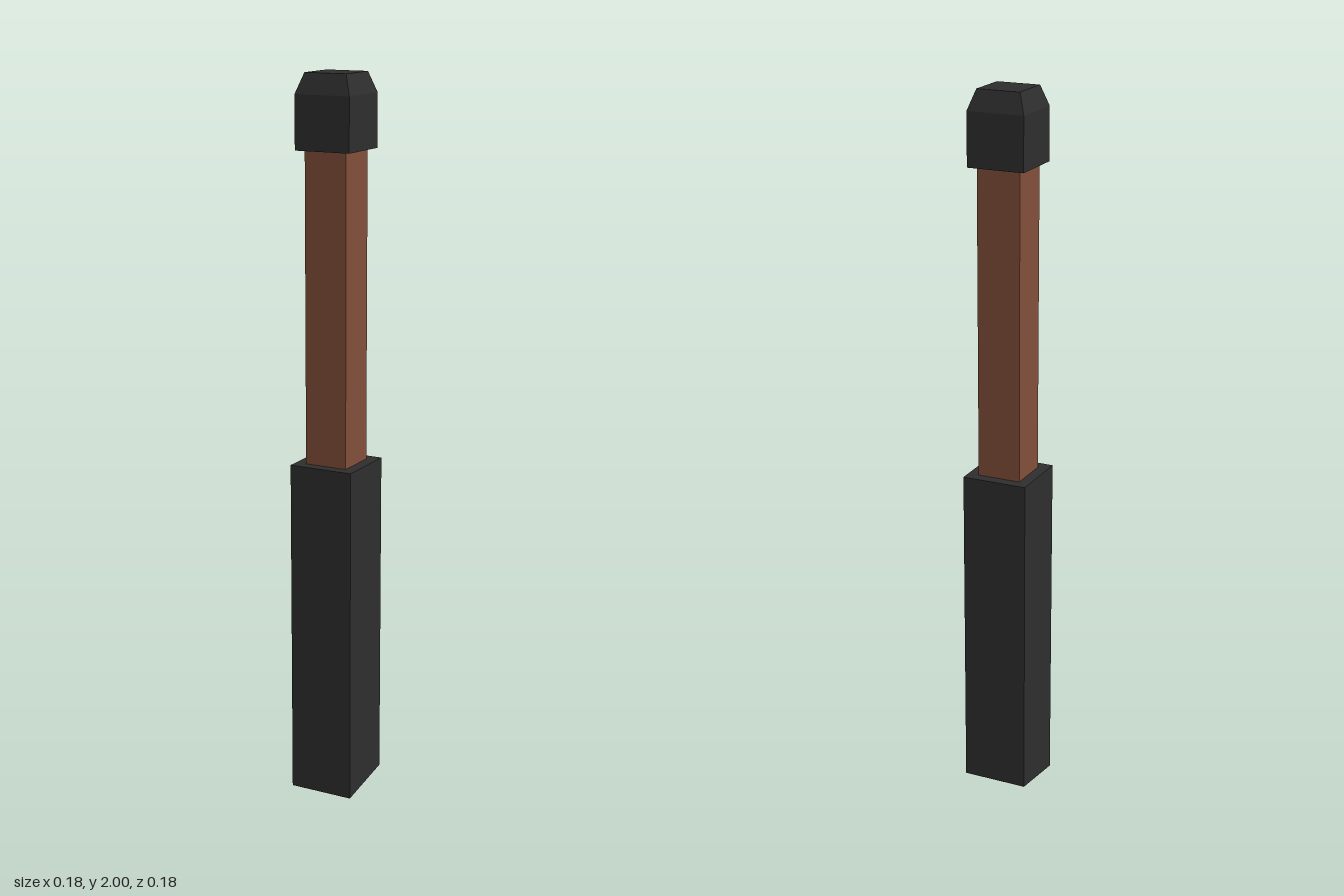
import * as THREE from 'three';

const rubber = new THREE.MeshStandardMaterial({ name: 'dark rubber', color: 0x2e2e2e, side: THREE.DoubleSide, flatShading: true });
const wood = new THREE.MeshStandardMaterial({ name: 'brown wood', color: 0x824f3a, flatShading: true });

// Square bar from y0 to y1, with half-widths at the bottom and the top
function bar(name, y0, y1, bottomHalf, topHalf, material) {
  const geometry = new THREE.BoxGeometry(2, y1 - y0, 2);
  geometry.translate(0, (y0 + y1) / 2, 0);
  const pos = geometry.attributes.position;
  const middle = (y0 + y1) / 2;
  for (let i = 0; i < pos.count; i++) {
    const half = pos.getY(i) > middle ? topHalf : bottomHalf;
    pos.setX(i, pos.getX(i) * half);
    pos.setZ(i, pos.getZ(i) * half);
  }
  geometry.computeVertexNormals();
  const mesh = new THREE.Mesh(geometry, material);
  mesh.name = name;
  return mesh;
}

// Drop one side of a box (0 +x, 1 -x, 2 +y, 3 -y, 4 +z, 5 -z)
function openSide(mesh, side) {
  const index = Array.from(mesh.geometry.index.array);
  index.splice(side * 6, 6);
  mesh.geometry.setIndex(index);
  mesh.geometry.clearGroups();
}

export function createModel() {
  const model = new THREE.Group();
  model.name = 'handle';

  // Hollow sleeve, open below, with its mouth cut at a slant
  const sleeve = bar('sleeve', 0, 0.95, 0.092, 0.092, rubber);
  const pos = sleeve.geometry.attributes.position;
  for (let i = 0; i < pos.count; i++) {
    if (pos.getY(i) < 0.1 && pos.getZ(i) < 0) pos.setY(i, 0.028);
  }
  openSide(sleeve, 3);
  model.add(sleeve);

  // Wooden shaft
  model.add(bar('shaft', 0.95, 1.8, 0.061, 0.061, wood));

  // End cap with a chamfered top
  const cap = new THREE.Group();
  cap.name = 'endCap';
  const base = bar('capBase', 1.8, 1.945, 0.08, 0.08, rubber);
  const chamfer = bar('capChamfer', 1.945, 2, 0.08, 0.061, rubber);
  openSide(base, 2);
  openSide(chamfer, 3);
  cap.add(base, chamfer);
  model.add(cap);

  return model;
}
